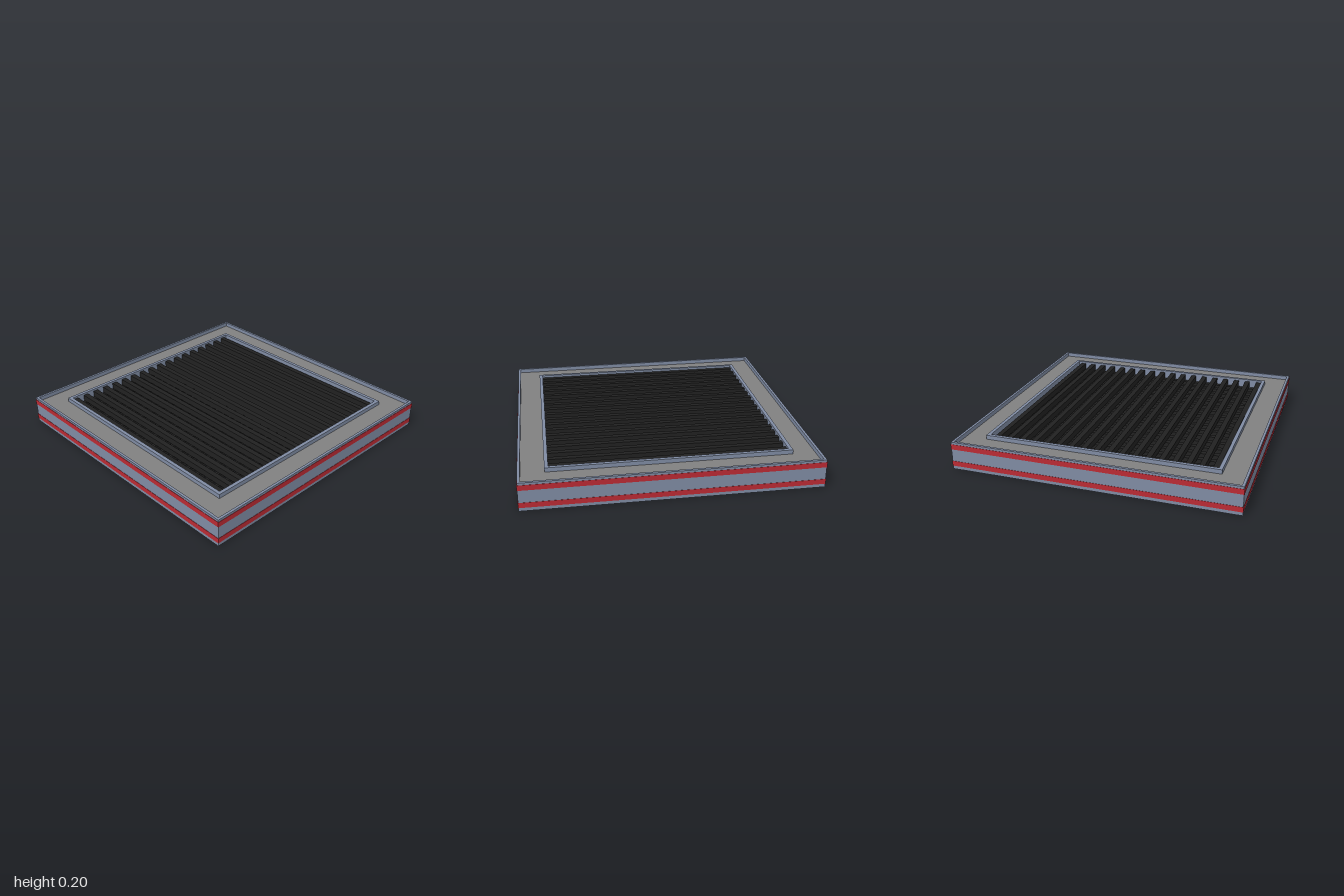
import * as THREE from 'three';

const material = (name, color) => {
  const m = new THREE.MeshStandardMaterial({ color });
  m.name = name;
  return m;
};

// Flat square ring between two half-widths, from height y0 to y1
function squareRing(name, outer, inner, y0, y1, mat) {
  const square = (Type, r) => new Type([
    new THREE.Vector2(-r, -r), new THREE.Vector2(r, -r),
    new THREE.Vector2(r, r), new THREE.Vector2(-r, r),
  ]);
  const shape = square(THREE.Shape, outer);
  shape.holes.push(square(THREE.Path, inner));
  const geo = new THREE.ExtrudeGeometry(shape, { depth: y1 - y0, bevelEnabled: false });
  geo.rotateX(-Math.PI / 2).translate(0, y0, 0);
  const mesh = new THREE.Mesh(geo, mat);
  mesh.name = name;
  return mesh;
}

export function createModel() {
  const slate = material('slate blue', 0x7f8ba3);
  const grey = material('panel grey', 0x808080);
  const red = material('stripe red', 0xba2a33);
  const black = material('grille black', 0x212121);

  const model = new THREE.Group();
  model.name = 'ventGrille';

  // Frame body with two raised rims and a sunken panel between them
  model.add(
    squareRing('frameBody', 0.998, 0.8, 0, 0.166, slate),
    squareRing('outerRim', 0.998, 0.98, 0.166, 0.2, slate),
    squareRing('innerRim', 0.825, 0.8, 0.166, 0.2, slate),
    squareRing('topPanel', 0.98, 0.825, 0.166, 0.17, grey),
  );

  // Red bands around the outside
  model.add(
    squareRing('lowerStripe', 1, 0.995, 0.024, 0.06, red),
    squareRing('upperStripe', 1, 0.995, 0.147, 0.184, red),
  );

  // Two crossed layers of bars: lower ones run along z, upper ones along x
  const grille = new THREE.Group();
  grille.name = 'grille';
  const count = 18, width = 0.037, height = 0.045;
  const lowerGeo = new THREE.BoxGeometry(width, height, 1.6);
  const upperGeo = new THREE.BoxGeometry(1.6, height, width);
  for (let i = 0; i < count; i++) {
    const t = i / (count - 1);
    const lower = new THREE.Mesh(lowerGeo, black);
    lower.name = 'lowerBar';
    lower.position.set(THREE.MathUtils.lerp(-0.779, 0.773, t), 0.1175, 0);
    const upper = new THREE.Mesh(upperGeo, black);
    upper.name = 'upperBar';
    upper.position.set(0, 0.1625, THREE.MathUtils.lerp(-0.758, 0.775, t));
    grille.add(lower, upper);
  }
  model.add(grille);
  return model;
}
